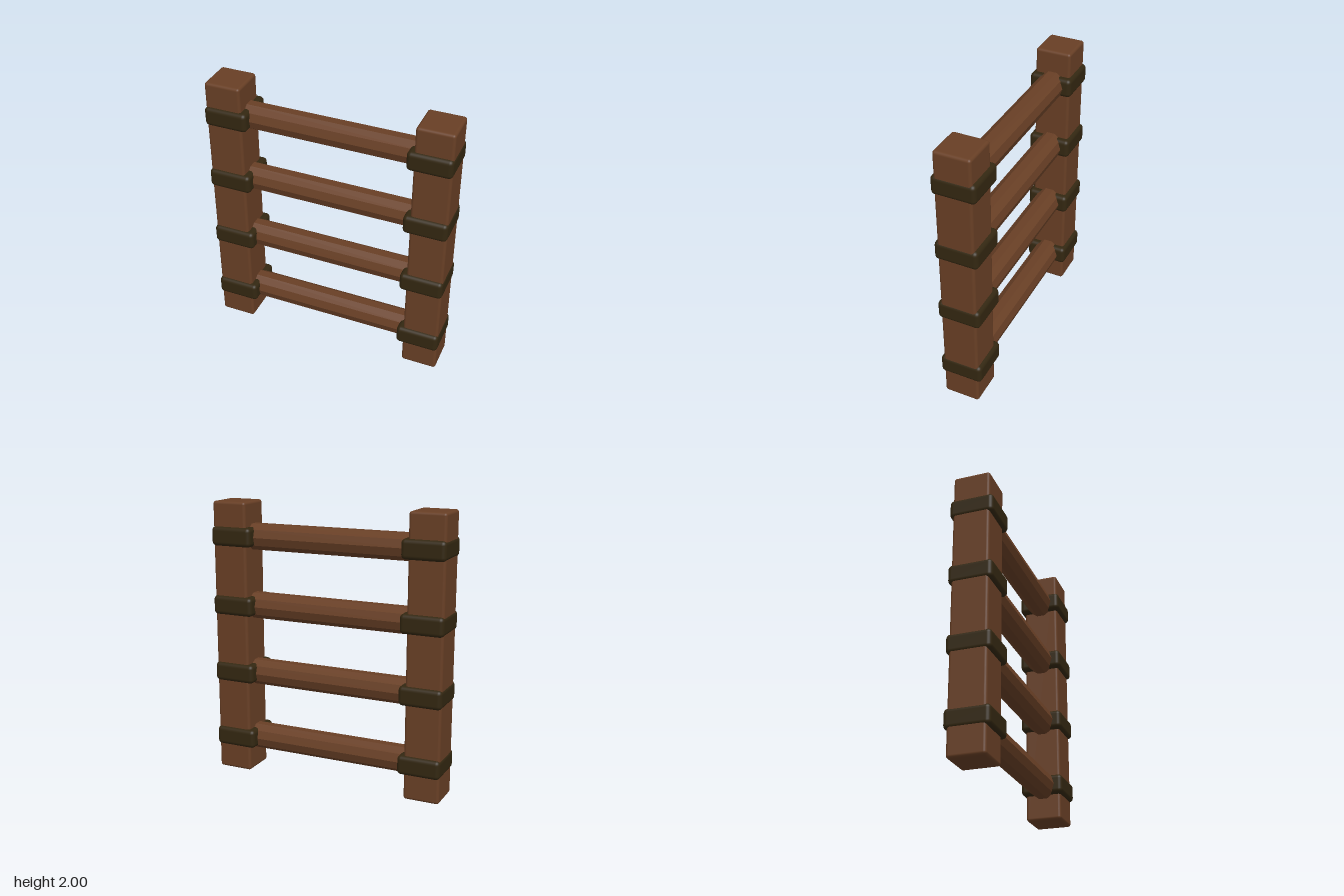
import * as THREE from 'three';
import { RoundedBoxGeometry } from 'three/addons/geometries/RoundedBoxGeometry.js';

export function createModel() {
  const model = new THREE.Group();
  model.name = 'ladder';

  const wood = new THREE.MeshStandardMaterial({ color: 0x683f25 });
  wood.name = 'brown wood';
  const binding = new THREE.MeshStandardMaterial({ color: 0x332711 });
  binding.name = 'dark binding';

  const add = (name, geometry, material, x, y) => {
    const mesh = new THREE.Mesh(geometry, material);
    mesh.name = name;
    mesh.position.set(x, y, 0);
    model.add(mesh);
  };

  const postGeometry = new RoundedBoxGeometry(0.26, 2, 0.26, 3, 0.02);
  const bandGeometry = new RoundedBoxGeometry(0.311, 0.138, 0.31, 3, 0.03);

  // Ten-sided faceted rung lying along x, with its ends buried in the posts
  let rungGeometry = new THREE.CylinderGeometry(0.097, 0.097, 1.4, 10);
  rungGeometry.rotateZ(Math.PI / 2);
  rungGeometry = rungGeometry.toNonIndexed();
  rungGeometry.computeVertexNormals();

  // Rungs, evenly spaced
  const heights = [0.25, 0.75, 1.25, 1.75];
  for (const y of heights) add('rung', rungGeometry, wood, 0, y);

  // Posts, each bound to every rung by a band reaching inwards
  for (const [side, s] of [['left', 1], ['right', -1]]) {
    add(side + 'Post', postGeometry, wood, s * 0.74, 1);
    for (const y of heights) add(side + 'Band', bandGeometry, binding, s * 0.72, y + 0.003);
  }

  return model;
}
